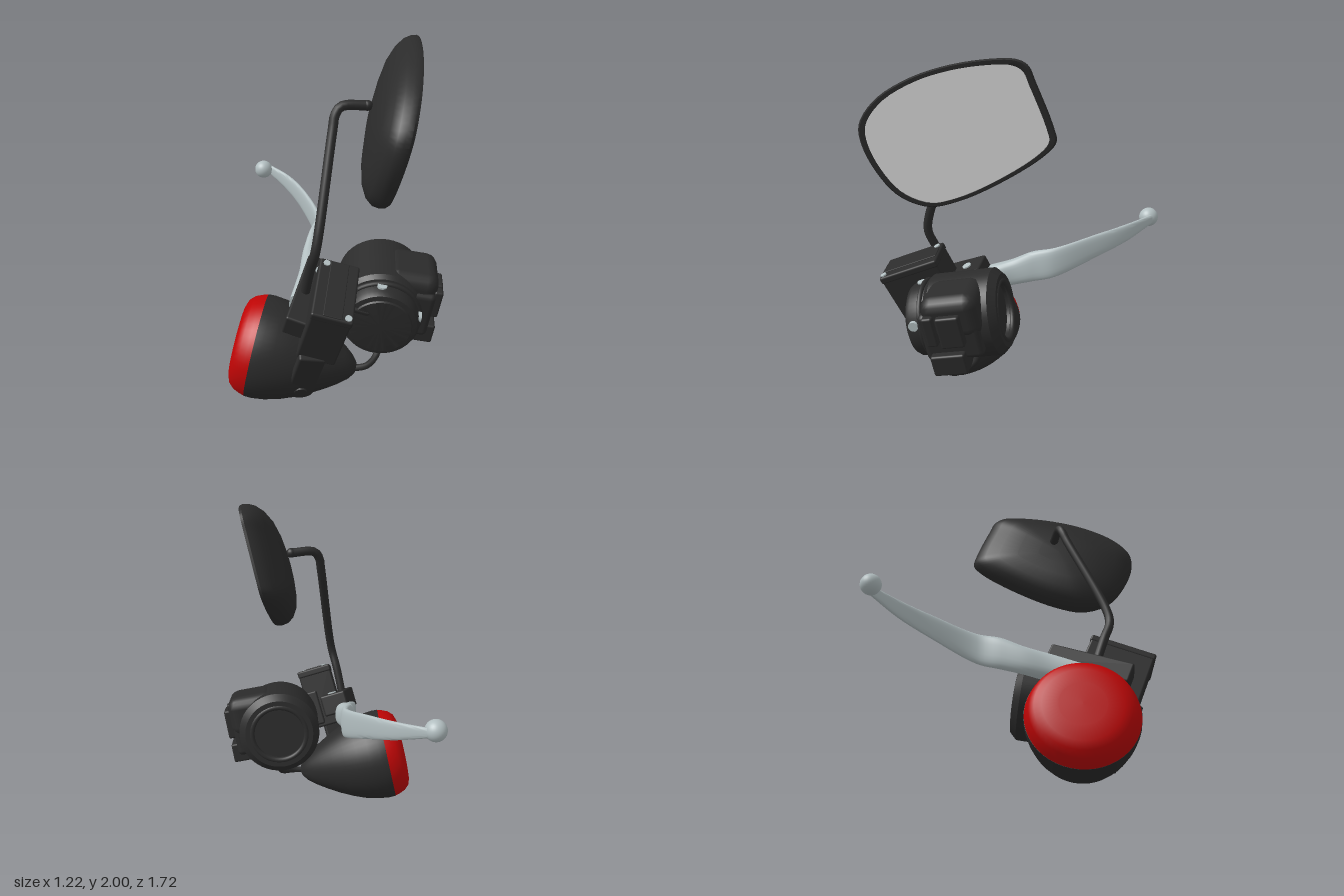
import * as THREE from 'three';
import { toCreasedNormals } from 'three/addons/utils/BufferGeometryUtils.js';
import { RoundedBoxGeometry } from 'three/addons/geometries/RoundedBoxGeometry.js';

const material = (name, color) => {
  const m = new THREE.MeshStandardMaterial({ color });
  m.name = name;
  return m;
};
const V = (x, y, z) => new THREE.Vector3(x, y, z);

// Skin a list of closed rings that turn counter-clockwise about the way they advance
function loft(rings, crease = 0.6) {
  const n = rings[0].length, pos = [], idx = [];
  rings.forEach((r) => r.forEach((p) => pos.push(p.x, p.y, p.z)));
  for (let i = 0; i < rings.length - 1; i++) {
    for (let j = 0; j < n; j++) {
      const a = i * n + j, b = i * n + (j + 1) % n;
      idx.push(a, b, b + n, a, b + n, a + n);
    }
  }
  const g = new THREE.BufferGeometry();
  g.setAttribute('position', new THREE.Float32BufferAttribute(pos, 3));
  g.setIndex(idx);
  return toCreasedNormals(g, crease);
}

const lathe = (pts, crease = 0.6) =>
  toCreasedNormals(new THREE.LatheGeometry(pts.map(([r, y]) => new THREE.Vector2(r, y)), 48), crease);

export function createModel() {
  const model = new THREE.Group();
  const black = material('black', 0x2b2b2b);
  const metal = material('pale metal', 0xb2bec0);
  const glass = material('mirror glass', 0xe4e4e4);
  const red = material('red lens', 0xbe0505);

  const add = (parent, name, geo, mat, x = 0, y = 0, z = 0) => {
    const m = new THREE.Mesh(geo, mat);
    m.name = name;
    m.position.set(x, y, z);
    parent.add(m);
    return m;
  };
  const box = (w, h, d, r = 0.012) => new RoundedBoxGeometry(w, h, d, 2, r);
  const tube = (pts, r) =>
    new THREE.TubeGeometry(new THREE.CatmullRomCurve3(pts, false, 'centripetal'), 48, r, 12);

  // Group turned so that its y follows "up" and its z follows "along"
  const turnedGroup = (name, position, up, along) => {
    const y = up.normalize(), x = y.clone().cross(along).normalize();
    const g = new THREE.Group();
    g.name = name;
    g.setRotationFromMatrix(new THREE.Matrix4().makeBasis(x, y, x.clone().cross(y)));
    g.position.copy(position);
    model.add(g);
    return g;
  };

  // Mirror: outline in z and y, leaned onto a sloping plane
  const outline = new THREE.CatmullRomCurve3([
    [0.36, 1.967], [0.14, 1.998], [0.03, 1.995], [-0.025, 1.965], [-0.06, 1.89], [-0.155, 1.66],
    [-0.17, 1.585], [-0.105, 1.505], [0.14, 1.34], [0.355, 1.237], [0.51, 1.203], [0.67, 1.26],
    [0.785, 1.395], [0.853, 1.555], [0.853, 1.66], [0.755, 1.79], [0.57, 1.9],
  ].map(([z, y]) => V(0, y, z)), true).getPoints(72).slice(0, -1);
  const mirrorRing = ([s, off]) => outline.map((p) => {
    const y = 1.6 + (p.y - 1.6) * s, z = 0.35 + (p.z - 0.35) * s;
    return V(0.351 + 0.235 * (y - 1.6) - 0.18 * (z - 0.35) + off, y, z);
  });
  add(model, 'mirrorShell', loft([
    [0.915, -0.006], [0.93, 0], [0.98, 0], [1, -0.015], [0.997, -0.045], [0.965, -0.08],
    [0.88, -0.118], [0.72, -0.153], [0.5, -0.175], [0.25, -0.186], [0, -0.19],
  ].map(mirrorRing)), black);
  add(model, 'mirrorGlass', loft([[0, -0.002], [0.93, -0.002]].map(mirrorRing)), glass);

  // Mirror stalk
  add(model, 'mirrorStalk', tube([
    V(-0.19, 0.65, 0.43), V(-0.165, 0.86, 0.51), V(-0.145, 0.97, 0.555), V(-0.125, 1.07, 0.545),
    V(-0.02, 1.58, 0.35), V(-0.005, 1.645, 0.33), V(0.03, 1.685, 0.32), V(0.165, 1.685, 0.32),
  ], 0.026), black);
  add(model, 'stalkEnd', new THREE.SphereGeometry(0.028, 16, 12), black, 0.165, 1.685, 0.32);

  // Screw heads, turned to face along the given axis
  const screw = (parent, x, y, z, r, axis, mat = metal) => {
    const s = add(parent, 'screw', new THREE.CylinderGeometry(r, r, 0.03, 16), mat, x, y, z);
    if (axis === 'z') s.rotation.x = Math.PI / 2;
    if (axis === 'x') s.rotation.z = Math.PI / 2;
  };

  // Brake fluid reservoir and lever bracket
  const reservoir = turnedGroup('reservoir', V(-0.08, 0.643, 0.57), V(0.17, 0.89, 0.42), V(-0.26, -0.34, 0.95));
  add(reservoir, 'reservoirBody', box(0.21, 0.37, 0.375), black, 0, -0.005, 0);
  add(reservoir, 'reservoirLid', box(0.217, 0.045, 0.385), black, 0, 0.172, 0);
  add(reservoir, 'lidPanel', box(0.1, 0.012, 0.365, 0.004), black, 0, 0.193, 0);
  const bracket = add(reservoir, 'leverBracket', box(0.16, 0.13, 0.48), black, -0.103, -0.06, -0.125);
  bracket.rotation.y = -0.12;
  add(reservoir, 'barClamp', box(0.2, 0.22, 0.18), black, 0.12, -0.06, -0.11);
  screw(reservoir, 0.08, 0.187, 0.165, 0.018, 'y');
  screw(reservoir, -0.07, 0.187, -0.16, 0.018, 'y');
  screw(reservoir, -0.075, -0.002, -0.265, 0.027, 'y');
  screw(reservoir, -0.09, -0.122, -0.28, 0.027, 'y');

  // Strap from the reservoir down to the lamp
  const strap = new THREE.Group();
  strap.name = 'lampStrap';
  strap.position.set(-0.02, -0.17, 0.18);
  strap.rotation.set(0.03, 0.2, 0);
  reservoir.add(strap);
  add(strap, 'strapPlate', box(0.145, 0.32, 0.05), black, 0, -0.15, 0);
  add(strap, 'strapEnd', new THREE.CylinderGeometry(0.0725, 0.0725, 0.05, 32).rotateX(Math.PI / 2),
    black, 0, -0.31, 0);
  screw(strap, 0, -0.31, 0.022, 0.036, 'z', black);

  // Switch housing around the bar, with a recessed rear opening
  const housing = turnedGroup('switchHousing', V(0.2, 0.545, 0.6), V(0.12, 0.96, 0.2), V(-0.21, -0.18, 0.95));
  add(housing, 'housingShell', lathe([
    [0, -0.49], [0.155, -0.49], [0.155, -0.53], [0.205, -0.53], [0.243, -0.49], [0.243, -0.15],
    [0.225, -0.125], [0.21, -0.12], [0.21, -0.04], [0.195, -0.015], [0.17, -0.01], [0.165, 0], [0, 0],
  ]).rotateX(Math.PI / 2), black);
  add(housing, 'housingSeam', new THREE.TorusGeometry(0.215, 0.014, 8, 48), black, 0, 0, -0.1);
  add(housing, 'rearRing', new THREE.TorusGeometry(0.165, 0.016, 8, 48), black, 0, 0, -0.52);
  add(housing, 'upperPod', box(0.3, 0.25, 0.32, 0.07), black, 0.14, 0.12, -0.3);
  add(housing, 'switchPod', box(0.2, 0.28, 0.32, 0.03), black, 0.18, 0.02, -0.28);
  add(housing, 'smallButton', box(0.05, 0.17, 0.06), black, 0.295, 0.08, -0.19);
  add(housing, 'largeButton', box(0.06, 0.18, 0.13), black, 0.295, 0.07, -0.3);
  add(housing, 'lowerSwitch', box(0.13, 0.12, 0.19), black, 0.26, -0.125, -0.25);
  screw(housing, 0.194, 0.065, -0.06, 0.028, 'x');
  screw(housing, -0.03, 0.202, -0.08, 0.026, 'y');
  screw(housing, 0.1, -0.213, -0.17, 0.026, 'y');

  // Brake lever: x range, y range at each station along z
  const stations = [
    [0.39, -0.265, -0.2, 0.55, 0.66], [0.2, -0.19, -0.07, 0.6, 0.75], [0.05, -0.15, -0.06, 0.64, 0.8],
    [-0.07, -0.1, -0.03, 0.675, 0.86], [-0.2, -0.042, 0, 0.715, 0.895], [-0.45, -0.09, -0.055, 0.82, 0.962],
    [-0.65, -0.17, -0.135, 0.9, 1.005], [-0.82, -0.28, -0.25, 0.98, 1.035],
  ];
  const centres = new THREE.CatmullRomCurve3(
    stations.map(([z, a, b, c, d]) => V((a + b) / 2, (c + d) / 2, z)));
  const radii = new THREE.CatmullRomCurve3(
    stations.map(([, a, b, c, d]) => V((b - a) / 2, (d - c) / 2, 0)));
  const squared = (v) => Math.sign(v) * Math.abs(v) ** 0.75;
  const leverRing = (t, k = 1) => {
    const c = centres.getPoint(t), r = radii.getPoint(t);
    return Array.from({ length: 24 }, (_, j) => {
      const q = (j / 24) * Math.PI * 2;
      return V(c.x + r.x * k * squared(Math.cos(q)), c.y - r.y * k * squared(Math.sin(q)), c.z);
    });
  };
  const leverRings = Array.from({ length: 43 }, (_, i) => leverRing(i / 42));
  add(model, 'brakeLever', loft([leverRing(0, 0), ...leverRings, leverRing(1, 0)], 0.9), metal);
  add(model, 'leverBall', new THREE.SphereGeometry(0.058, 32, 20), metal, -0.305, 1.01, -0.805);

  // Bullet-shaped turn signal with a flat-faced lens
  const lamp = new THREE.Group();
  lamp.name = 'turnSignal';
  lamp.position.set(-0.455, 0.31, 0.28);
  lamp.quaternion.setFromUnitVectors(V(0, 1, 0), V(1, -0.23, 0.24).normalize());
  model.add(lamp);
  add(lamp, 'lampLens', lathe([
    [0, -0.11], [0.12, -0.108], [0.2, -0.102], [0.24, -0.088], [0.268, -0.058], [0.284, -0.02], [0.292, 0.008],
  ], 1), red);
  add(lamp, 'lampBody', lathe([
    [0.28, 0.006], [0.293, 0.008], [0.295, 0.05], [0.287, 0.12], [0.268, 0.2], [0.238, 0.28], [0.2, 0.36],
    [0.155, 0.44], [0.11, 0.51], [0.07, 0.56], [0.035, 0.588], [0, 0.6],
  ], 0.8), black);

  // Cable from the lamp tip up to the housing
  add(model, 'lampCable', tube([
    V(0.08, 0.185, 0.42), V(0.17, 0.195, 0.42), V(0.235, 0.225, 0.37), V(0.275, 0.29, 0.29),
    V(0.29, 0.35, 0.25), V(0.29, 0.5, 0.25),
  ], 0.019), black);

  return model;
}
